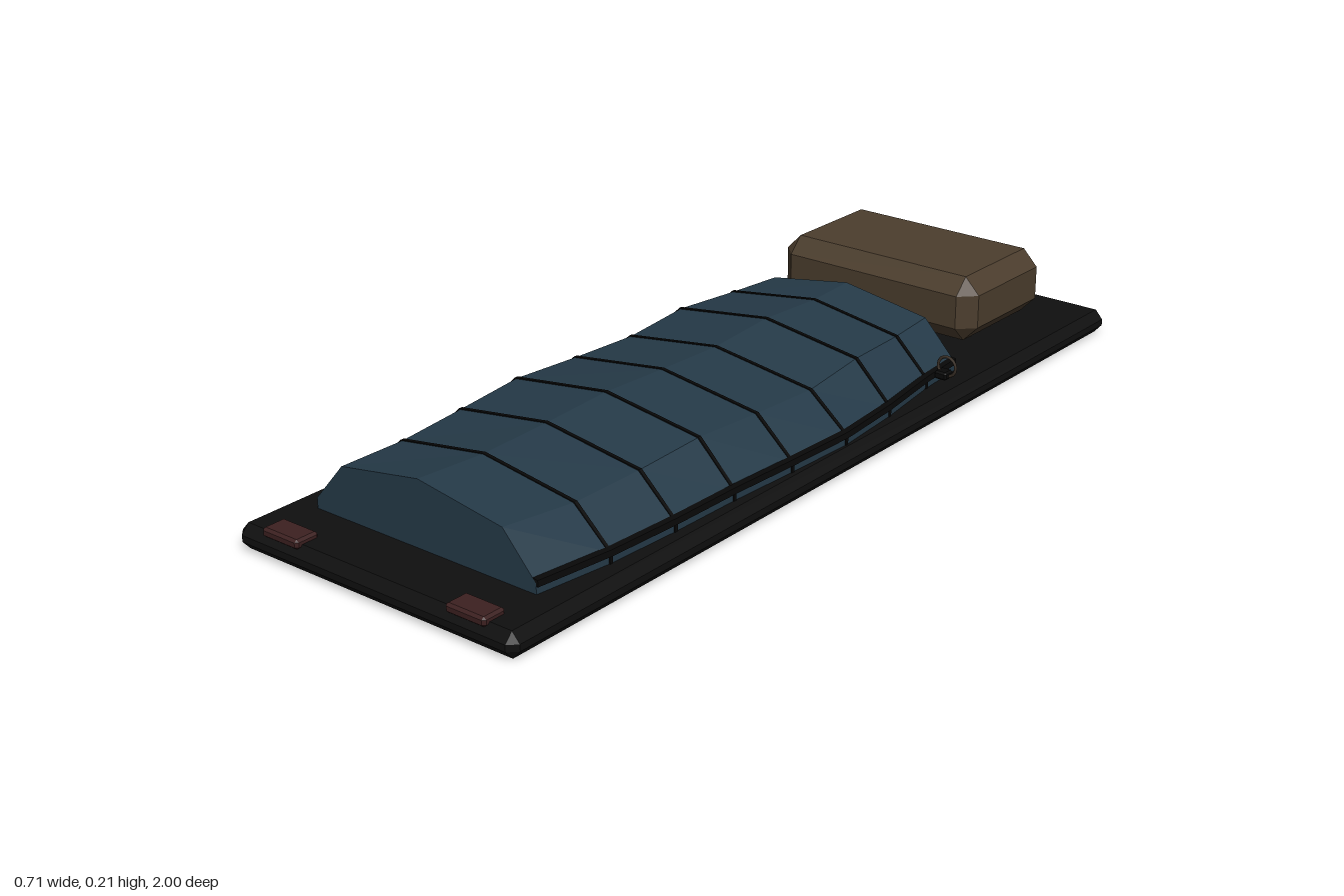
import * as THREE from 'three';
import { ConvexGeometry } from 'three/addons/geometries/ConvexGeometry.js';

const material = (name, color) => {
  const m = new THREE.MeshStandardMaterial({ color });
  m.name = name;
  return m;
};

// Box with chamfered edges; c holds the chamfer along x, y and z.
function chamferBox(w, h, d, c) {
  const half = [w / 2, h / 2, d / 2];
  const points = [];
  for (const sx of [-1, 1]) for (const sy of [-1, 1]) for (const sz of [-1, 1]) {
    const s = [sx, sy, sz];
    for (let face = 0; face < 3; face++) {
      points.push(new THREE.Vector3(...half.map((v, i) => s[i] * (i === face ? v : v - c[i]))));
    }
  }
  return new ConvexGeometry(points);
}

// Flat-shaded closed loft through rings of points, front to back.
function loft(rings) {
  const pos = [];
  const tri = (a, b, c) => pos.push(...a, ...b, ...c);
  const n = rings[0].length;
  for (let i = 0; i < rings.length - 1; i++) {
    for (let j = 0; j < n; j++) {
      const k = (j + 1) % n;
      tri(rings[i][j], rings[i][k], rings[i + 1][k]);
      tri(rings[i][j], rings[i + 1][k], rings[i + 1][j]);
    }
  }
  const first = rings[0], last = rings[rings.length - 1];
  for (let j = 1; j < n - 1; j++) {
    tri(first[0], first[j + 1], first[j]);
    tri(last[0], last[j], last[j + 1]);
  }
  const g = new THREE.BufferGeometry();
  g.setAttribute('position', new THREE.Float32BufferAttribute(pos, 3));
  g.computeVertexNormals();
  return g;
}

// Bag stations: z, left edge, right edge, ridge height
const stations = [
  [0.86, -0.28, 0.28, 0.195],
  [0.688, -0.30, 0.303, 0.184],
  [0.516, -0.318, 0.312, 0.188],
  [0.344, -0.333, 0.315, 0.195],
  [0.172, -0.325, 0.324, 0.188],
  [0, -0.32, 0.33, 0.183],
  [-0.172, -0.325, 0.316, 0.194],
  [-0.344, -0.31, 0.292, 0.186],
  [-0.465, -0.277, 0.283, 0.191],
];

// Cross-section of the bag, optionally grown outward by g
const section = ([z, left, right, top], g = 0, dz = 0) => [
  [left - g, 0.052, z + dz],
  [left - g, 0.076, z + dz],
  [left * 0.735 - g, top - 0.033 + g, z + dz],
  [-0.005, top + g, z + dz],
  [right * 0.725 + g, top - 0.033 + g, z + dz],
  [right + g, 0.076, z + dz],
  [right + g, 0.052, z + dz],
];

export function createModel() {
  const group = new THREE.Group();
  const black = material('mat black', 0x0f0f0f);
  const blue = material('bag blue', 0x253a48);
  const brown = material('pillow brown', 0x4b3d2d);
  const red = material('strap red', 0x3c2020);
  const seamBlack = material('seam black', 0x080808);
  const bronze = material('pull bronze', 0x3a3027);

  const add = (name, geometry, mat, x = 0, y = 0, z = 0) => {
    const mesh = new THREE.Mesh(geometry, mat);
    mesh.name = name;
    mesh.position.set(x, y, z);
    group.add(mesh);
    return mesh;
  };

  // Ground mat and pillow
  add('mat', chamferBox(0.708, 0.054, 2, [0.018, 0.02, 0.018]), black, 0, 0.027, 0);
  add('pillow', chamferBox(0.525, 0.15, 0.315, [0.036, 0.037, 0.036]), brown, -0.0175, 0.135, -0.737);

  // Quilted bag and its cross seams
  add('sleepingBag', loft(stations.map((s) => section(s))), blue);
  stations.slice(1, -1).forEach((s, i) => {
    add(`seam${i + 1}`, loft([section(s, 0.002, 0.004), section(s, 0.002, -0.004)]), seamBlack);
  });

  // Zipper along the left edge, with a ring pull
  const zipRings = stations.map(([z, , r]) => [
    [r - 0.008, 0.07, z], [r - 0.008, 0.085, z], [r + 0.004, 0.083, z], [r + 0.005, 0.07, z],
  ]);
  add('zipper', loft(zipRings), seamBlack);
  add('zipperSlider', chamferBox(0.03, 0.018, 0.03, [0.004, 0.004, 0.004]), seamBlack, 0.308, 0.078, -0.385);
  add('zipperPull', new THREE.TorusGeometry(0.022, 0.0035, 6, 16), bronze, 0.316, 0.097, -0.385);

  // Strap tabs at the foot of the mat
  for (const side of [-1, 1]) {
    add(side > 0 ? 'leftStrapTab' : 'rightStrapTab',
      chamferBox(0.096, 0.02, 0.056, [0.006, 0.005, 0.006]), red, side * 0.236, 0.055, 0.968);
  }
  return group;
}
